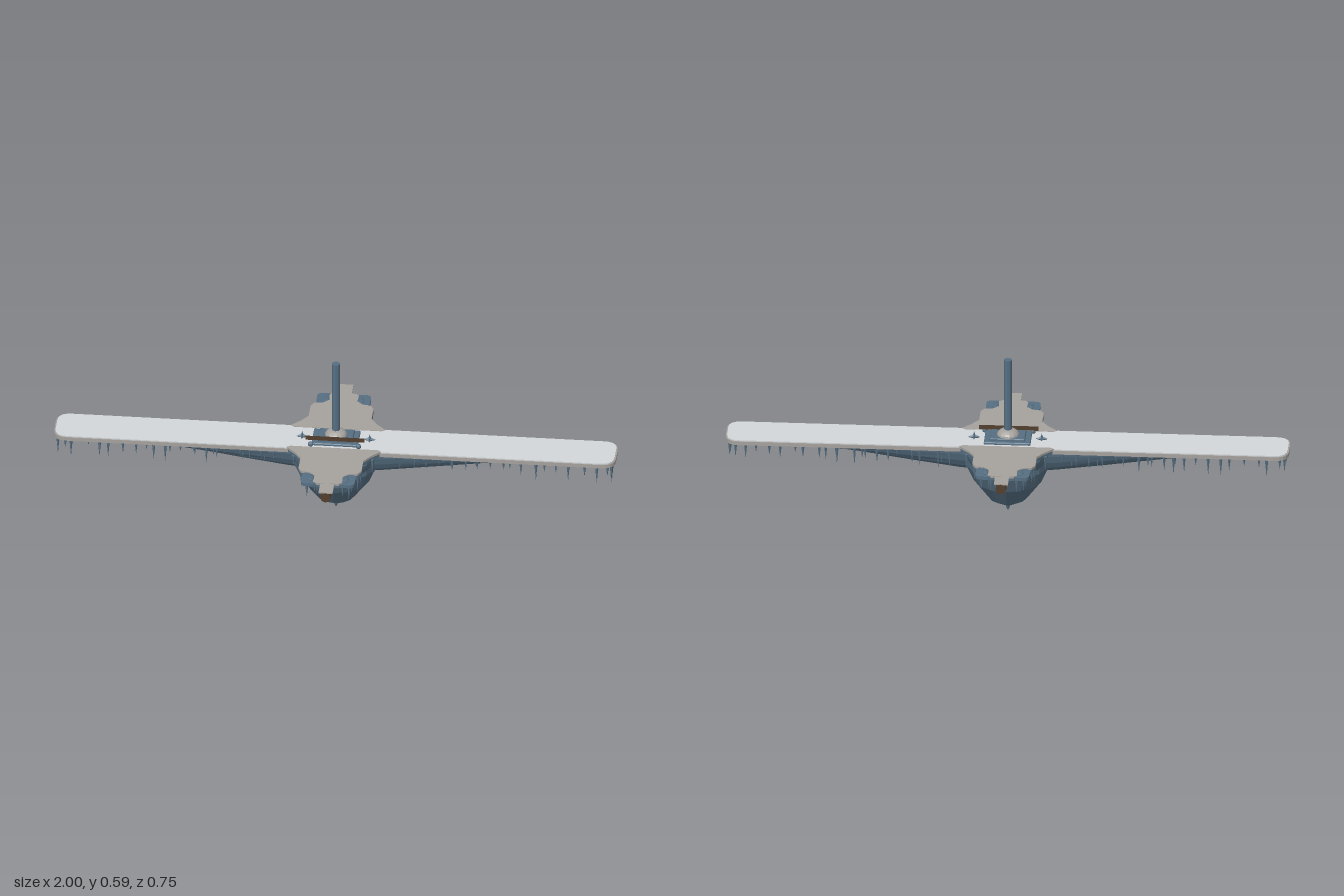
import * as THREE from 'three';
import { mergeGeometries } from 'three/addons/utils/BufferGeometryUtils.js';
import { RoundedBoxGeometry } from 'three/addons/geometries/RoundedBoxGeometry.js';

const mat = (name, color, extra = {}) => {
  const m = new THREE.MeshStandardMaterial({ color, flatShading: true, ...extra });
  m.name = name;
  return m;
};

export function createModel() {
  const ice = mat('ice blue', 0x566f82);
  const deck = mat('pale deck', 0xd3d7da);
  const stone = mat('warm grey', 0xa5a19d);
  const wood = mat('dark wood', 0x533f2e, { side: THREE.DoubleSide });
  const rope = mat('rope', 0x7d7061);

  const model = new THREE.Group();
  model.name = 'iceGlider';
  const add = (name, geo, material, x = 0, y = 0, z = 0, parent = model) => {
    const mesh = new THREE.Mesh(geo, material);
    mesh.name = name;
    mesh.position.set(x, y, z);
    parent.add(mesh);
    return mesh;
  };

  let seed = 7;
  const rand = () => (seed = (seed * 16807) % 2147483647) / 2147483647;

  // Flat plate from an outline in x and z, hanging down from y = 0
  const plate = (shape, depth) =>
    new THREE.ExtrudeGeometry(shape, { depth, bevelEnabled: false, curveSegments: 5 }).rotateX(Math.PI / 2);

  // U-shaped beam along +x; each section is [x, halfWidth, bottomY]
  const beam = (sections, top) => {
    const n = 10, pos = [], idx = [];
    sections.forEach(([x, w, low], i) => {
      for (let j = 0; j <= n; j++) {
        const t = (j / n) * Math.PI;
        pos.push(x, top - (top - low) * Math.pow(Math.sin(t), 1.2), w * Math.cos(t));
        if (i < sections.length - 1 && j < n) {
          const a = i * (n + 1) + j, c = a + n + 1;
          idx.push(a, a + 1, c, a + 1, c + 1, c);
        }
      }
    });
    const g = new THREE.BufferGeometry();
    g.setAttribute('position', new THREE.Float32BufferAttribute(pos, 3));
    g.setIndex(idx);
    g.computeVertexNormals();
    return g;
  };

  // Pointed keel hull with a small drip at the bottom
  const profile = [[0, 0.022], [0.014, 0.025], [0.068, 0.055], [0.124, 0.13], [0.15, 0.19], [0.155, 0.265]];
  add('hull', new THREE.LatheGeometry(profile.map(p => new THREE.Vector2(...p)), 14), ice);
  const drip = [[0, 0], [0.006, 0.012], [0.012, 0.028], [0.006, 0.045]];
  add('hullTip', new THREE.LatheGeometry(drip.map(p => new THREE.Vector2(...p)), 6), ice);

  // Long deck with rounded corners
  const roundRect = (w, h, r) => {
    const s = new THREE.Shape();
    s.moveTo(-w + r, -h);
    s.lineTo(w - r, -h).quadraticCurveTo(w, -h, w, -h + r);
    s.lineTo(w, h - r).quadraticCurveTo(w, h, w - r, h);
    s.lineTo(-w + r, h).quadraticCurveTo(-w, h, -w, h - r);
    s.lineTo(-w, -h + r).quadraticCurveTo(-w, -h, -w + r, -h);
    return s;
  };
  add('deckRim', plate(roundRect(1, 0.08, 0.05), 0.014), stone, 0, 0.277);
  add('deckTop', plate(roundRect(0.995, 0.077, 0.047), 0.004), deck, 0, 0.281);

  // Tapering keels under both wings
  const wingKeel = beam([[0.08, 0.06, 0.16], [0.17, 0.06, 0.168], [0.35, 0.058, 0.194],
    [0.55, 0.054, 0.225], [0.72, 0.048, 0.247], [0.92, 0.03, 0.264]], 0.266);
  for (const s of [1, -1]) {
    add(s > 0 ? 'leftWingKeel' : 'rightWingKeel', wingKeel, ice).rotation.y = s > 0 ? 0 : Math.PI;
  }

  // Front and back platforms, built facing +z and turned for the back
  const half = [[0.155, 0.066], [0.168, 0.075], [0.135, 0.11], [0.112, 0.145], [0.112, 0.215],
    [0.1, 0.235], [0.07, 0.24], [0.05, 0.26], [0.052, 0.3], [0.04, 0.31], [0.025, 0.31]];
  const outline = [...half, ...half.map(([x, z]) => [-x, z]).reverse()];
  const platformShape = new THREE.Shape(outline.map(p => new THREE.Vector2(...p)));
  const brace = beam([[0.08, 0.15, 0.155], [0.15, 0.125, 0.187], [0.2, 0.1, 0.212],
    [0.25, 0.085, 0.237], [0.29, 0.05, 0.262]], 0.268).rotateY(-Math.PI / 2);
  const logGeo = (r, length) => new THREE.CylinderGeometry(r, r, length, 8).rotateX(Math.PI / 2);

  for (const s of [1, -1]) {
    const end = new THREE.Group();
    end.name = s > 0 ? 'frontPlatform' : 'backPlatform';
    end.rotation.y = s > 0 ? 0 : Math.PI;
    model.add(end);
    add('platformTop', plate(platformShape, 0.008), stone, 0, 0.2825, 0, end);
    add('platformUnderside', plate(platformShape, 0.01), ice, 0, 0.2745, 0, end);
    add('platformBrace', brace, ice, 0, 0, 0, end);
    add('log', logGeo(0.019, 0.15), wood, 0, 0.261, 0.3, end);
    add('logCollar', logGeo(0.022, 0.02), wood, 0, 0.251, 0.242, end);
    add('logTop', new THREE.BoxGeometry(0.05, 0.004, 0.07), stone, 0, 0.2795, 0.338, end);
    for (const z of [0.327, 0.339]) add('ropeBinding', logGeo(0.021, 0.009), rope, 0, 0.26, z, end);
    for (const x of [-1, 1]) {
      add('icePad', plate(roundRect(0.03, 0.037, 0.02), 0.012), ice, x * 0.066, 0.279, 0.274, end);
      add('iceLump', new THREE.SphereGeometry(0.012, 8, 5).scale(1, 0.4, 2), ice, x * 0.062, 0.279, 0.27, end);
    }
  }

  // Mast on its stepped base
  add('mastBase', new RoundedBoxGeometry(0.166, 0.012, 0.106, 2, 0.005), ice, 0, 0.284);
  add('mastStep', new RoundedBoxGeometry(0.125, 0.014, 0.08, 2, 0.004), ice, 0, 0.292);
  add('mastDome', new THREE.SphereGeometry(0.04, 14, 5, 0, Math.PI * 2, 0, Math.PI / 2).scale(1, 0.62, 1), stone, 0, 0.297);
  add('mast', new THREE.CylinderGeometry(0.0145, 0.0145, 0.29, 8), ice, 0, 0.447);
  add('crossPlank', new THREE.PlaneGeometry(0.21, 0.017), wood, 0, 0.304, 0.041);

  // Knobs and small crystal stars beside the base
  for (const s of [-1, 1]) {
    add('knob', new THREE.SphereGeometry(0.01, 8, 6), ice, s * 0.085, 0.286, 0.054);
    for (const size of [[0.022, 0.01, 0.007], [0.007, 0.01, 0.022], [0.007, 0.02, 0.007]]) {
      add('crystalStar', new THREE.OctahedronGeometry(1).scale(...size), ice, s * 0.12, 0.285, 0);
    }
  }

  // Icicles hanging from the edges and from the keels
  const spikes = [];
  const icicle = (x, z, length, r = 0.007, top = 0.268) =>
    spikes.push(new THREE.ConeGeometry(r, length, 5).rotateX(Math.PI).translate(x, top - length / 2, z));
  for (const sx of [-1, 1]) {
    for (const sz of [-1, 1]) {
      for (let x = 0.2; x < 0.96; x += 0.042) {
        icicle(sx * (x + 0.025 * rand()), sz * (0.056 + 0.016 * rand()), 0.025 + 0.055 * rand());
      }
      for (let x = 0.22; x < 0.6; x += 0.09) {
        icicle(sx * (x + 0.03 * rand()), sz * 0.046, 0.04, 0.006, 0.262 - 0.05 * (0.7 - x));
      }
      for (const [x, z] of [[0.14, 0.11], [0.108, 0.15], [0.106, 0.19], [0.1, 0.225], [0.08, 0.24], [0.075, 0.29]]) {
        icicle(sx * x, sz * z, 0.035 + 0.03 * rand());
      }
      icicle(sx * 0.045, sz * 0.228, 0.088, 0.009);
      icicle(sx * 0.05, sz * 0.262, 0.06);
    }
    for (let z = -0.05; z < 0.06; z += 0.033) icicle(sx * 0.985, z, 0.045 + 0.035 * rand());
  }
  for (const s of [-1, 1]) icicle(0, s * 0.335, 0.025, 0.006, 0.245);
  add('icicles', mergeGeometries(spikes), ice);

  return model;
}
